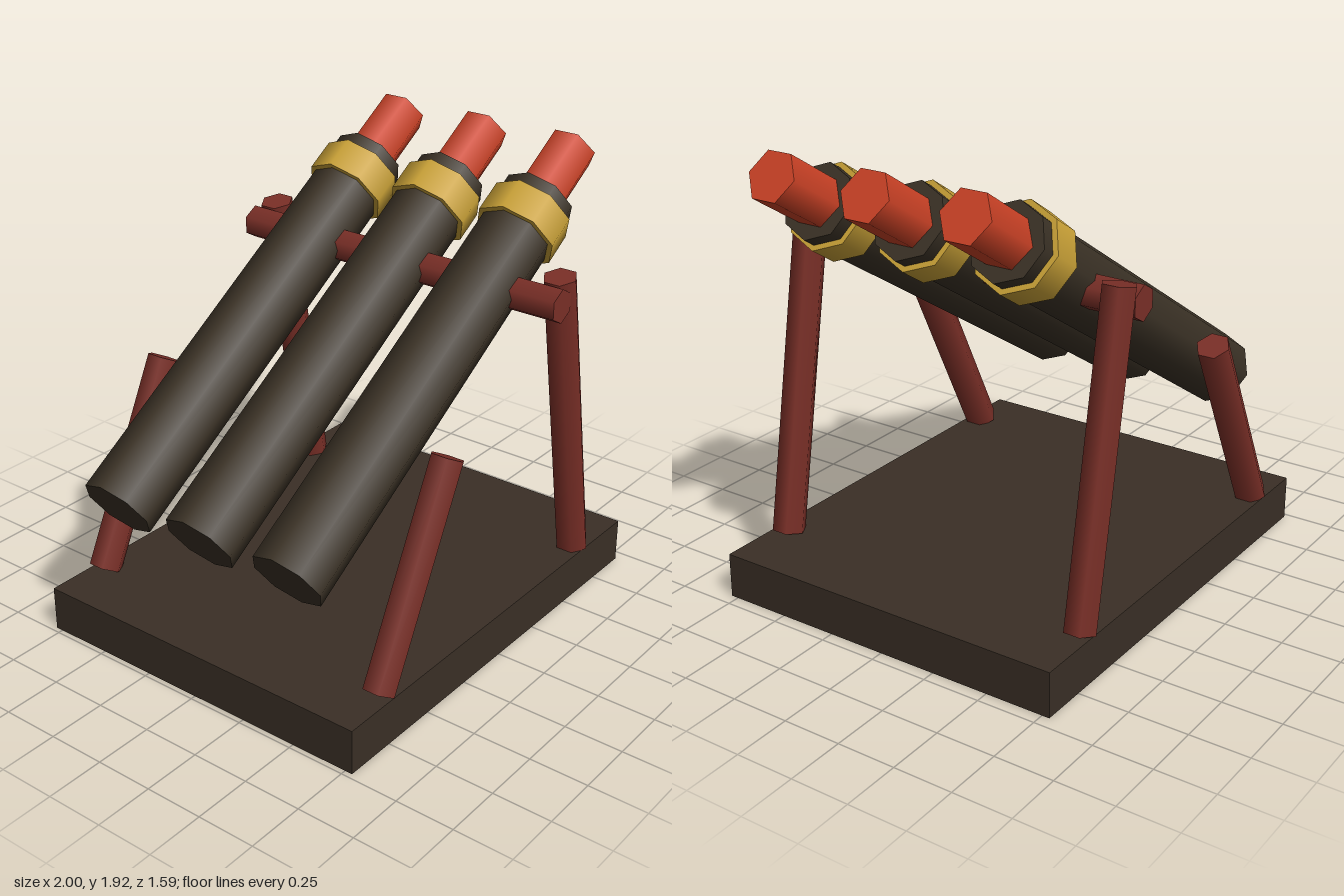
import * as THREE from 'three';

const material = (name, color) => {
  const m = new THREE.MeshStandardMaterial({ color });
  m.name = name;
  return m;
};

export function createModel() {
  const baseWood = material('dark base wood', 0x3a2f26);
  const tubeBrown = material('dark tube brown', 0x3b3226);
  const gold = material('gold band', 0xc9a137);
  const brightRed = material('bright red', 0xcc4226);
  const frameRed = material('dark red frame', 0x7a2f27);

  const model = new THREE.Group();
  model.name = 'tripleTubeLauncher';

  // Closed cylinder running from point a to point b in the x-y plane at depth z
  const rod = (name, a, b, z, radius, sides, mat, parent) => {
    const dx = b[0] - a[0], dy = b[1] - a[1];
    const geometry = new THREE.CylinderGeometry(radius, radius, Math.hypot(dx, dy), sides);
    const mesh = new THREE.Mesh(geometry, mat);
    mesh.name = name;
    mesh.position.set((a[0] + b[0]) / 2, (a[1] + b[1]) / 2, z);
    mesh.rotation.z = -Math.atan2(dx, dy);
    parent.add(mesh);
  };

  // Base slab
  const base = new THREE.Mesh(new THREE.BoxGeometry(1.925, 0.193, 1.565), baseWood);
  base.name = 'base';
  base.position.set(-0.016, 0.0965, 0);
  model.add(base);

  // Tilted tubes, each with a band and a protruding rocket
  const start = [-0.917, 0.667], end = [0.705, 1.691];
  const length = Math.hypot(end[0] - start[0], end[1] - start[1]);
  const along = (d) => start.map((s, i) => s + ((end[i] - s) * d) / length);
  for (const z of [-0.433, 0, 0.433]) {
    const tube = new THREE.Group();
    tube.name = 'launchTube';
    rod('barrel', along(0), along(length), z, 0.157, 8, tubeBrown, tube);
    rod('band', along(1.712), along(1.855), z, 0.18, 8, gold, tube);
    rod('rocket', along(1.75), along(length + 0.287), z, 0.109, 6, brightRed, tube);
    model.add(tube);
  }

  // Legs on both sides
  for (const side of [-1, 1]) {
    rod('tallLeg', [0.648, 0.197], [0.419, 1.51], side * 0.722, 0.072, 6, frameRed, model);
    rod('shortLeg', [-0.736, 0.204], [-0.324, 1.028], side * 0.722, 0.072, 6, frameRed, model);
  }

  // Crossbar under the tubes
  const bar = new THREE.Mesh(new THREE.CylinderGeometry(0.072, 0.072, 1.565, 6), frameRed);
  bar.name = 'crossbar';
  bar.position.set(0.344, 1.425, 0);
  bar.rotation.x = Math.PI / 2;
  model.add(bar);

  return model;
}
